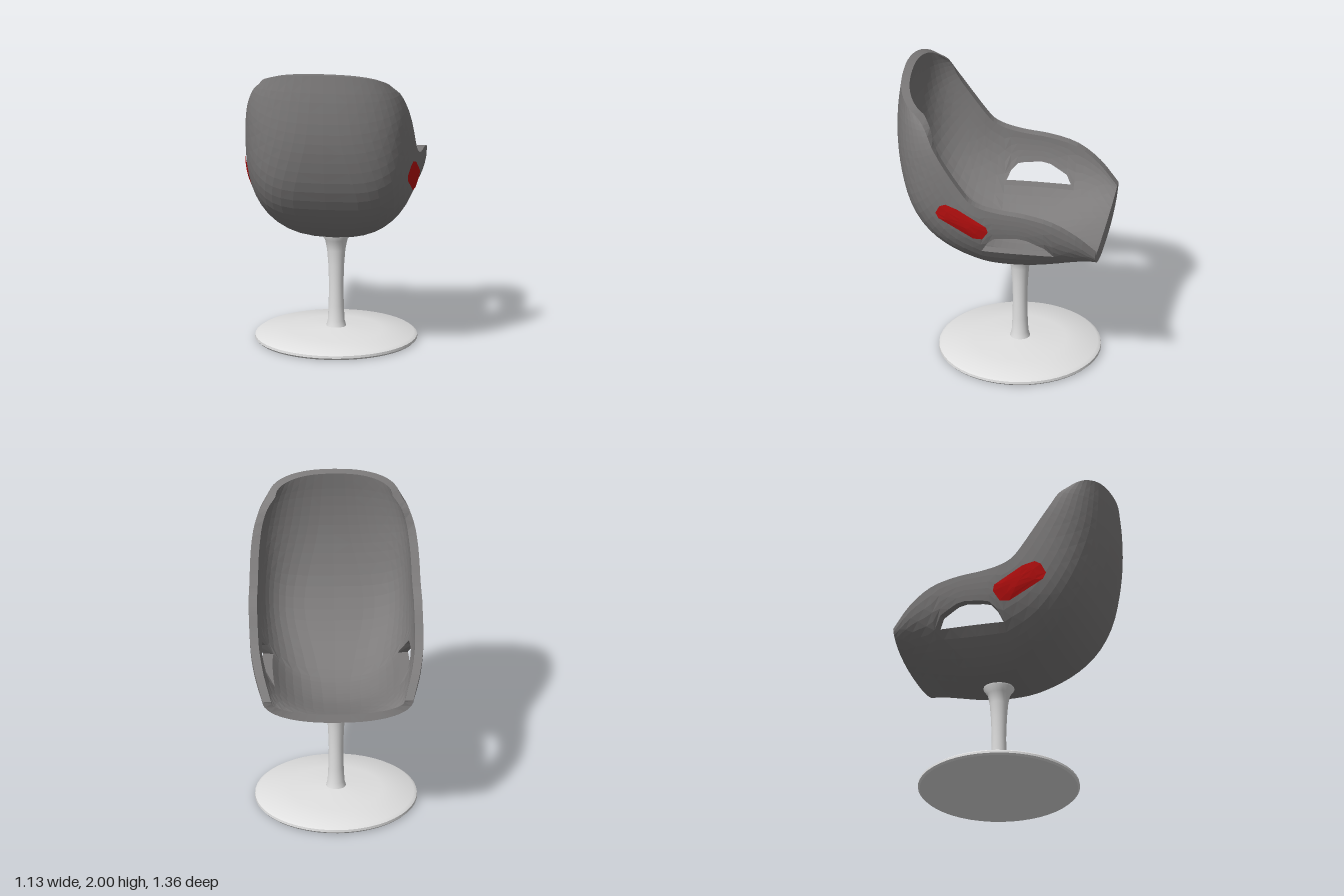
import * as THREE from 'three';
import { toCreasedNormals } from 'three/addons/utils/BufferGeometryUtils.js';

const V = (x, y, z) => new THREE.Vector3(x, y, z);

// Shell stations from seat lip to top of the back: spine y, z, then rim x, y, z
const STATIONS = [
  [0.84, -0.67, 0.49, 1.0, -0.675],
  [0.80, -0.55, 0.535, 1.13, -0.55],
  [0.755, -0.4, 0.56, 1.23, -0.4],
  [0.72, -0.25, 0.565, 1.28, -0.22],
  [0.71, -0.08, 0.565, 1.3, -0.05],
  [0.73, 0.07, 0.565, 1.33, 0.08],
  [0.83, 0.29, 0.56, 1.37, 0.15],
  [0.98, 0.455, 0.555, 1.43, 0.2],
  [1.18, 0.58, 0.55, 1.53, 0.27],
  [1.4, 0.65, 0.54, 1.63, 0.335],
  [1.6, 0.68, 0.52, 1.73, 0.395],
  [1.82, 0.68, 0.48, 1.83, 0.445],
  [2.0, 0.66, 0.42, 1.9, 0.505],
];
const LAST = STATIONS.length - 1;
const SUB = 3, ROWS = LAST * SUB, WALL = 0.055;
const spine = new THREE.CatmullRomCurve3(STATIONS.map((s) => V(0, s[0], s[1])));
const rim = new THREE.CatmullRomCurve3(STATIONS.map((s) => V(s[2], s[3], s[4])));

// Arm opening: flat sill and arched top, one height per row
const SILL = 0.96, HOLE_START = 6;
const ARCH = [0.96, 1.04, 1.07, 1.1, 1.11, 1.105, 1.1, 1.09, 1.045, 0.96];
const HOLE_END = HOLE_START + ARCH.length - 1;

// End points of one U-shaped section, outer (inner = false) or inner skin
function section(row, inner) {
  const t = row / ROWS;
  const c = spine.getPoint(t), r = rim.getPoint(t);
  if (inner) {
    const d = spine.getTangent(t);
    c.add(V(0, d.z, -d.y).multiplyScalar(WALL));
    const k = THREE.MathUtils.smoothstep(t * LAST, 9, 12);
    r.add(V(-WALL + 0.015 * k, 0, -0.035 * k));
  }
  return { c, r };
}

// Point on the shell: angle 0 is the spine, +-90 degrees the rims
function shellPoint(row, angle, inner) {
  const { c, r } = section(row, inner);
  const i = row / SUB;
  const power = 0.85 - 0.38 * Math.exp(-(((i - 7.5) / 2) ** 2));
  const x = r.x * Math.sign(angle) * Math.pow(Math.abs(Math.sin(angle)), power);
  const f = 1 - Math.cos(angle);
  return V(x, c.y + (r.y - c.y) * f, c.z + (r.z - c.z) * f);
}

// Angle of the opening's lower or upper edge; they coincide away from it
function holeAngle(row, inner, upper) {
  if (row < HOLE_START || row > HOLE_END) return 0.92;
  const { c, r } = section(row, inner);
  const y = upper ? ARCH[row - HOLE_START] : SILL;
  return Math.acos(1 - (y - c.y) / (r.y - c.y));
}

// Faceted patch over na x nb cells
function addGrid(out, na, nb, f, flip) {
  const tri = (a, b, c) => {
    for (const p of flip ? [a, c, b] : [a, b, c]) out.push(p.x, p.y, p.z);
  };
  for (let a = 0; a < na; a++) {
    for (let b = 0; b < nb; b++) {
      const p = f(a, b), q = f(a, b + 1), r = f(a + 1, b), s = f(a + 1, b + 1);
      if ((a + b) % 2) { tri(p, q, r); tri(q, s, r); }
      else { tri(p, q, s); tri(p, s, r); }
    }
  }
}

function facetedGeometry(points) {
  const g = new THREE.BufferGeometry();
  g.setAttribute('position', new THREE.Float32BufferAttribute(points, 3));
  g.computeVertexNormals();
  return g;
}

function shellGeometry() {
  const out = [], H = Math.PI / 2, NB = 14, NU = 5;
  for (const inner of [false, true]) {
    // seat and back between the openings
    addGrid(out, ROWS, NB, (a, b) =>
      shellPoint(a, holeAngle(a, inner, false) * (2 * b / NB - 1), inner), inner);
    // arms and side wings above the openings
    for (const side of [1, -1]) {
      addGrid(out, ROWS, NU, (a, b) => {
        const h = holeAngle(a, inner, true);
        return shellPoint(a, side * (h + (H - h) * b / NU), inner);
      }, inner !== (side < 0));
    }
  }
  for (const side of [1, -1]) {
    // rim edge, then sill and arch of the opening
    addGrid(out, ROWS, 1, (a, b) => shellPoint(a, side * H, b === 1), side < 0);
    for (const upper of [false, true]) {
      addGrid(out, ARCH.length - 1, 1, (a, b) => {
        const row = a + HOLE_START;
        return shellPoint(row, side * holeAngle(row, b === 1, upper), b === 1);
      }, upper !== (side < 0));
    }
  }
  // seat lip and top edge, on the same angles as the skins
  for (const row of [0, ROWS]) {
    const h = 0.92, angles = [];
    for (let i = NU; i > 0; i--) angles.push(-h - (H - h) * i / NU);
    for (let i = 0; i <= NB; i++) angles.push(h * (2 * i / NB - 1));
    for (let i = 1; i <= NU; i++) angles.push(h + (H - h) * i / NU);
    addGrid(out, angles.length - 1, 1,
      (a, b) => shellPoint(row, angles[a], b === 1), row > 0);
  }
  return facetedGeometry(out);
}

// Thin panel that follows the outer skin, outlined in z, y
function panelGeometry(side) {
  const outline = [[0.3, 1.33], [0.22, 1.305], [0.03, 1.19], [0.02, 1.15],
    [0.06, 1.085], [0.12, 1.08], [0.35, 1.21], [0.37, 1.25], [0.34, 1.31]];
  const samples = [];
  for (let row = 13; row <= 30; row += 0.15) {
    for (let a = 0.5; a <= 1.57; a += 0.02) samples.push(shellPoint(row, a, false));
  }
  const project = (z, y) => {
    let best = samples[0], d = Infinity;
    for (const p of samples) {
      const e = (p.z - z) ** 2 + (p.y - y) ** 2;
      if (e < d) { d = e; best = p; }
    }
    return V(side * (best.x + 0.008), y, z);
  };
  const out = [], n = outline.length, rings = 3;
  addGrid(out, n, rings, (a, b) => {
    const [z, y] = outline[a % n], k = b / rings;
    return project(0.195 + (z - 0.195) * k, 1.205 + (y - 1.205) * k);
  }, side < 0);
  return facetedGeometry(out);
}

function lathe(profile, segments) {
  const g = new THREE.LatheGeometry(profile.map(([r, y]) => new THREE.Vector2(r, y)), segments);
  return toCreasedNormals(g, 0.7);
}

export function createModel() {
  const mat = (name, color, side = THREE.FrontSide) => {
    const m = new THREE.MeshStandardMaterial({ color, side });
    m.name = name;
    return m;
  };
  const grey = mat('shell grey', 0x7d7b7b);
  const white = mat('base off-white', 0xe0e0e0);
  const red = mat('panel red', 0xbe1010, THREE.DoubleSide);

  const model = new THREE.Group();
  model.name = 'swivelChair';
  const add = (name, geometry, material) => {
    const mesh = new THREE.Mesh(geometry, material);
    mesh.name = name;
    model.add(mesh);
    return mesh;
  };

  add('seatShell', shellGeometry(), grey);
  add('leftPanel', panelGeometry(1), red);
  add('rightPanel', panelGeometry(-1), red);

  // pedestal
  const disc = lathe([[0, 0], [0.515, 0], [0.527, 0.012], [0.525, 0.028],
    [0.505, 0.042], [0.3, 0.06], [0.06, 0.085], [0, 0.085]], 48);
  const stem = lathe([[0.066, 0.08], [0.055, 0.12], [0.05, 0.22], [0.047, 0.36],
    [0.052, 0.5], [0.06, 0.6], [0.074, 0.67], [0.1, 0.705], [0.1, 0.72], [0, 0.73]], 20);
  add('baseDisc', disc, white).position.z = -0.105;
  add('stem', stem, white).position.z = -0.105;
  return model;
}
